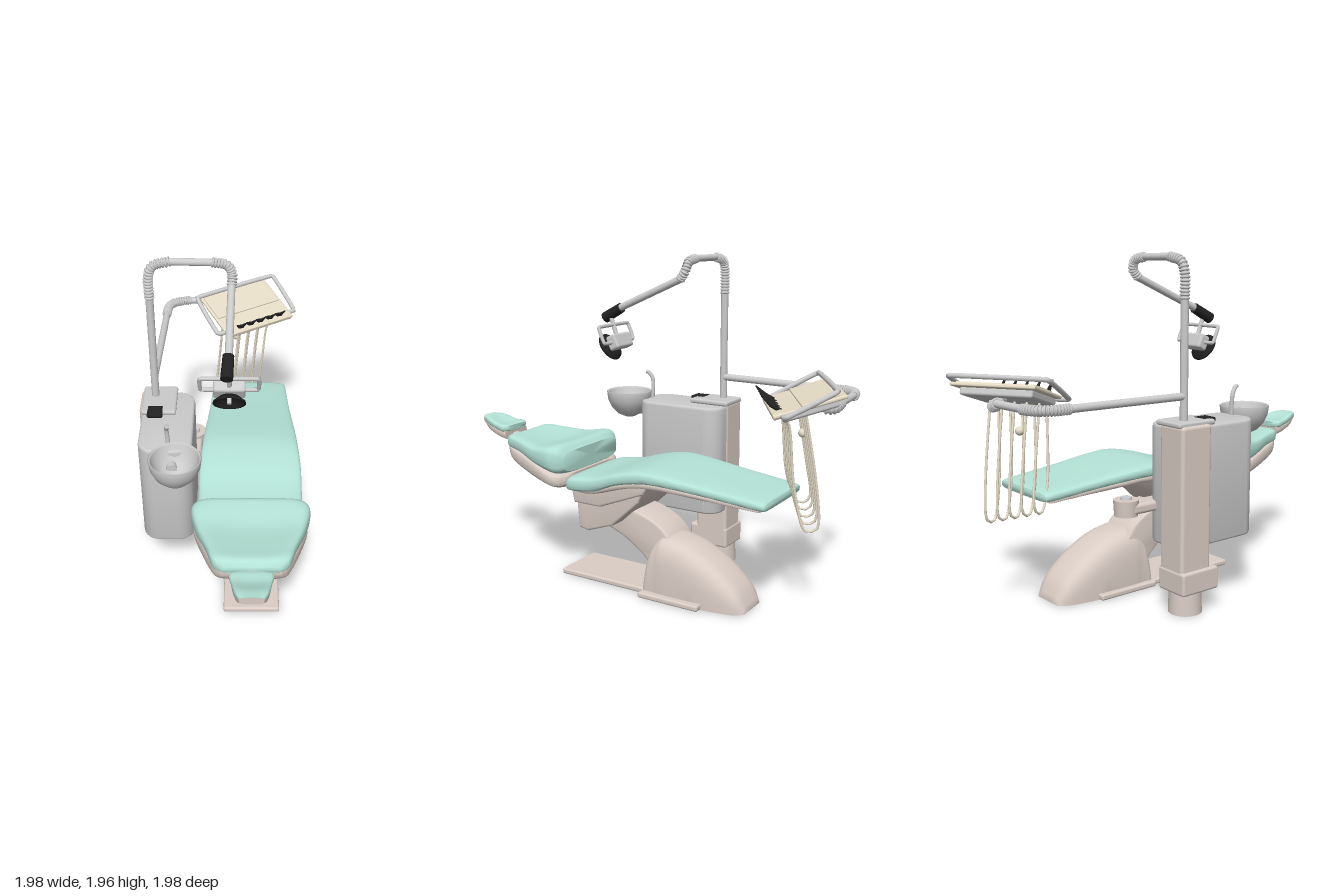
import * as THREE from 'three';
import { toCreasedNormals } from 'three/addons/utils/BufferGeometryUtils.js';
import { RoundedBoxGeometry } from 'three/addons/geometries/RoundedBoxGeometry.js';

const mat = (color) => new THREE.MeshStandardMaterial({ color });
const grey = mat(0xcccccc), beige = mat(0xdacdc5), teal = mat(0xb4e2d6), cream = mat(0xe6dcc6), black = mat(0x222222);
const bowlMat = new THREE.MeshStandardMaterial({ color: 0xcccccc, side: THREE.DoubleSide });
const reflectorMat = new THREE.MeshStandardMaterial({ color: 0x222222, side: THREE.DoubleSide });
const V = (p) => new THREE.Vector3(...p);

function add(parent, name, geo, material, pos = [0, 0, 0]) {
  const m = new THREE.Mesh(geo, material);
  m.name = name;
  m.position.set(...pos);
  parent.add(m);
  return m;
}

const rbox = (parent, name, size, pos, material, r = 0.012) =>
  add(parent, name, new RoundedBoxGeometry(...size, 3, r), material, pos);

// Straight round bar between two points
function rod(parent, name, a, b, r, material, r2 = r) {
  const d = V(b).sub(V(a));
  const m = add(parent, name, new THREE.CylinderGeometry(r2, r, d.length(), 20), material);
  m.position.copy(V(a)).addScaledVector(d, 0.5);
  m.quaternion.setFromUnitVectors(new THREE.Vector3(0, 1, 0), d.normalize());
  return m;
}

function pipe(parent, name, pts, r, material, closed = false, tension = 0.5) {
  const c = new THREE.CatmullRomCurve3(pts.map(V), closed, 'catmullrom', tension);
  add(parent, name, new THREE.TubeGeometry(c, closed ? 96 : 40, r, 10, closed), material);
  return c;
}

// Flexible ribbed sleeve along a curve
function bellows(parent, name, pts, r, count) {
  const g = new THREE.Group();
  g.name = name;
  parent.add(g);
  const c = pipe(g, name + 'Core', pts, r, grey);
  for (let i = 0; i <= count; i++) {
    const ring = add(g, name + 'Rib', new THREE.TorusGeometry(r, 0.007, 8, 20), grey);
    ring.position.copy(c.getPointAt(i / count));
    ring.quaternion.setFromUnitVectors(new THREE.Vector3(0, 0, 1), c.getTangentAt(i / count));
  }
}

// Body lofted along x from rows of [x, halfWidth, bottom, top]; sections are superellipses
function loft(parent, name, rows, material, power = 4, dish = 0) {
  const N = 40, M = (rows.length - 1) * 5;
  const plan = new THREE.SplineCurve(rows.map((q) => new THREE.Vector2(q[0], q[1])));
  const side = new THREE.SplineCurve(rows.map((q) => new THREE.Vector2(q[2], q[3])));
  const pos = [], idx = [];
  const pw = (v) => Math.sign(v) * Math.abs(v) ** (2 / power);
  for (let i = 0; i <= M; i++) {
    const a = plan.getPoint(i / M), b = side.getPoint(i / M);
    for (let j = 0; j < N; j++) {
      const t = (j / N) * Math.PI * 2, z = pw(Math.cos(t)), s = pw(Math.sin(t));
      const sag = s > 0 ? dish * s * (1 - z * z) * Math.sin((Math.PI * i) / M) : 0;
      pos.push(a.x, Math.max(0, (b.x + b.y) / 2 + (s * (b.y - b.x)) / 2 - sag), z * a.y);
      const k = i * N + j, k1 = i * N + ((j + 1) % N);
      if (i < M) idx.push(k, k + N, k1, k1, k + N, k1 + N);
    }
  }
  for (const end of [0, M]) {
    const a = plan.getPoint(end / M), b = side.getPoint(end / M), c = pos.length / 3;
    pos.push(a.x, Math.max(0, (b.x + b.y) / 2), 0);
    for (let j = 0; j < N; j++) {
      const k = end * N + j, k1 = end * N + ((j + 1) % N);
      idx.push(c, end ? k1 : k, end ? k : k1);
    }
  }
  const geo = new THREE.BufferGeometry();
  geo.setAttribute('position', new THREE.Float32BufferAttribute(pos, 3));
  geo.setIndex(idx);
  return add(parent, name, toCreasedNormals(geo, 0.8), material);
}

// Side profile (x, y) extruded across z
function slab(parent, name, pts, width, material, smooth = false) {
  const v = pts.map((p) => new THREE.Vector2(...p));
  const shape = new THREE.Shape(smooth ? new THREE.SplineCurve([...v, v[0]]).getPoints(48).slice(0, -1) : v);
  const geo = new THREE.ExtrudeGeometry(shape, { depth: width - 0.03, bevelSize: 0.015, bevelThickness: 0.015, bevelSegments: 3 });
  geo.translate(0, 0, -(width - 0.03) / 2);
  return add(parent, name, toCreasedNormals(geo, 0.6), material);
}

function buildChair(g) {
  // Floor plate, pedestal and lift arm
  rbox(g, 'floorPlate', [0.8, 0.035, 0.33], [-0.23, 0.0175, 0.01], beige);
  rbox(g, 'floorPlateWing', [0.4, 0.035, 0.42], [0.17, 0.0175, 0.03], beige);
  loft(g, 'pedestal', [[-0.03, 0.165, -0.3, 0.08], [0, 0.17, -0.3, 0.27], [0.05, 0.17, -0.3, 0.345], [0.11, 0.175, -0.3, 0.36],
    [0.26, 0.175, -0.3, 0.325], [0.42, 0.165, -0.3, 0.24], [0.55, 0.14, -0.2, 0.13], [0.61, 0.1, -0.1, 0.03]], beige, 3.8).position.z = 0.025;
  slab(g, 'liftArm', [[-0.4, 0.4], [-0.22, 0.47], [-0.05, 0.445], [0.09, 0.36], [0.16, 0.2], [0.06, 0.12], [-0.06, 0.23], [-0.2, 0.32]], 0.24, beige, true);
  // Seat with its stepped underframe
  slab(g, 'seatUnderframe', [[-0.46, 0.6], [-0.44, 0.365], [-0.39, 0.355], [-0.22, 0.415], [-0.04, 0.58], [0, 0.67]], 0.45, beige);
  slab(g, 'seatFrame', [[-0.47, 0.62], [-0.45, 0.53], [-0.28, 0.53], [0.02, 0.65], [0.06, 0.71]], 0.52, beige);
  loft(g, 'seatPan', [[-0.45, 0.26, 0.575, 0.63], [-0.3, 0.28, 0.59, 0.65], [0, 0.275, 0.67, 0.72], [0.4, 0.25, 0.66, 0.7], [0.73, 0.22, 0.64, 0.665]], beige, 6);
  loft(g, 'seatCushion', [[-0.51, 0.265, 0.6, 0.645], [-0.47, 0.295, 0.58, 0.68], [-0.3, 0.3, 0.6, 0.705], [-0.15, 0.3, 0.66, 0.75],
    [0, 0.29, 0.69, 0.78], [0.15, 0.28, 0.695, 0.775], [0.45, 0.255, 0.675, 0.74], [0.73, 0.24, 0.65, 0.71], [0.77, 0.225, 0.66, 0.695]], teal, 4.5);
  // Backrest
  rbox(g, 'backrestHinge', [0.22, 0.08, 0.3], [-0.5, 0.585, -0.03], beige, 0.03);
  loft(g, 'backrestShell', [[-1.04, 0.16, 0.73, 0.79], [-0.98, 0.2, 0.67, 0.78], [-0.8, 0.265, 0.62, 0.75],
    [-0.62, 0.315, 0.59, 0.7], [-0.55, 0.305, 0.585, 0.69], [-0.52, 0.26, 0.6, 0.67]], beige);
  loft(g, 'backrestCushion', [[-1.045, 0.15, 0.77, 0.81], [-1.01, 0.2, 0.755, 0.855], [-0.9, 0.235, 0.74, 0.85], [-0.75, 0.29, 0.7, 0.84],
    [-0.62, 0.325, 0.67, 0.86], [-0.56, 0.31, 0.66, 0.855], [-0.52, 0.27, 0.68, 0.81]], teal, 4, 0.03);
  // Headrest
  rod(g, 'headrestStem', [-0.96, 0.76, 0], [-1.2, 0.82, 0], 0.035, beige).scale.x = 0.4;
  loft(g, 'headrestShell', [[-1.34, 0.06, 0.87, 0.91], [-1.28, 0.08, 0.82, 0.885], [-1.2, 0.095, 0.79, 0.86], [-1.12, 0.105, 0.775, 0.84]], beige);
  loft(g, 'headrestCushion', [[-1.335, 0.06, 0.88, 0.91], [-1.28, 0.085, 0.85, 0.91], [-1.2, 0.1, 0.83, 0.885], [-1.14, 0.112, 0.82, 0.88],
    [-1.115, 0.09, 0.83, 0.865]], teal, 3.5, 0.015);
}

function buildCabinet(g) {
  // Water unit body with rounded vertical corners
  const [w, d, r] = [0.275, 0.14, 0.085], s = new THREE.Shape();
  [[w - r, d - r, 0], [r - w, d - r, 0.5], [r - w, r - d, 1], [w - r, r - d, 1.5]].forEach(([x, y, a]) =>
    s.absarc(x, y, r, a * Math.PI, (a + 0.5) * Math.PI, false));
  const geo = new THREE.ExtrudeGeometry(s, { depth: 0.63, bevelSize: 0.012, bevelThickness: 0.02, bevelSegments: 4, curveSegments: 10 });
  geo.rotateX(-Math.PI / 2);
  add(g, 'waterUnitBody', toCreasedNormals(geo, 0.6), grey, [-0.113, 0.39, -0.477]);
  // Rear column standing on its foot
  rbox(g, 'column', [0.21, 0.83, 0.19], [0.075, 0.635, -0.55], beige, 0.02);
  rbox(g, 'columnCap', [0.26, 0.03, 0.2], [0.06, 1.055, -0.53], grey);
  rbox(g, 'columnSocket', [0.26, 0.13, 0.21], [0.055, 0.185, -0.56], beige, 0.015);
  add(g, 'columnFoot', new THREE.CylinderGeometry(0.09, 0.095, 0.13, 32), beige, [0.09, 0.065, -0.57]);
  rbox(g, 'switchPad', [0.09, 0.025, 0.09], [-0.06, 1.06, -0.55], black, 0.008);
  // Side bracket with holder
  rbox(g, 'bracketArm', [0.24, 0.06, 0.12], [0.21, 0.58, -0.36], beige, 0.02);
  add(g, 'bracketHead', new THREE.CylinderGeometry(0.072, 0.066, 0.09, 28), beige, [0.33, 0.585, -0.35]);
  add(g, 'bracketKnob', new THREE.CylinderGeometry(0.03, 0.035, 0.02, 20), grey, [0.33, 0.635, -0.35]);
}

function buildBowl(g) {
  const profile = [[0, 0.912], [0.035, 0.914], [0.078, 0.935], [0.115, 0.975], [0.138, 1.025], [0.145, 1.075], [0.138, 1.082], [0.13, 1.07],
    [0.115, 1.015], [0.08, 0.965], [0.035, 0.94], [0, 0.935]].map((p) => new THREE.Vector2(...p));
  add(g, 'spittoonBowl', new THREE.LatheGeometry(profile, 40), bowlMat, [-0.61, 0, 0.08]);
  rod(g, 'bowlSupport', [-0.59, 0.96, 0.03], [-0.48, 0.96, -0.1], 0.03, grey);
  pipe(g, 'bowlSpout', [[-0.53, 1, -0.05], [-0.53, 1.09, -0.055], [-0.535, 1.16, -0.055], [-0.55, 1.2, -0.035], [-0.56, 1.205, -0.02]], 0.012, grey);
}

function buildLamp(g, chairFrame) {
  // Pole and jointed arm
  rod(g, 'lampPole', [-0.26, 1.05, -0.435], [-0.26, 1.75, -0.435], 0.022, grey);
  bellows(g, 'poleElbow', [[-0.26, 1.72, -0.435], [-0.26, 1.84, -0.435], [-0.24, 1.91, -0.415], [-0.18, 1.935, -0.35]], 0.021, 16);
  rod(g, 'lampCrossbar', [-0.19, 1.935, -0.36], [-0.03, 1.935, -0.17], 0.02, grey);
  bellows(g, 'lampElbow', [[-0.03, 1.935, -0.17], [0.02, 1.92, -0.115], [0.035, 1.87, -0.09], [0.01, 1.825, -0.07]], 0.021, 12);
  rod(g, 'lampArm', [0.02, 1.83, -0.08], [-0.33, 1.63, 0.22], 0.021, grey);
  rod(g, 'lampJoint', [-0.31, 1.64, 0.2], [-0.405, 1.575, 0.275], 0.03, black, 0.033);
  // Lamp head and handle
  const h = new THREE.Group();
  h.name = 'lampHead';
  h.position.set(-0.44, 1.405, -0.115);
  chairFrame.add(h);
  rod(h, 'lampHanger', [0.005, 0.17, 0], [0.05, 0.05, 0], 0.013, grey);
  pipe(h, 'lampHandle', [[0.02, 0.13, -0.15], [0.02, 0.13, 0.15], [0.06, 0.035, 0.15], [0.06, 0.035, -0.15]], 0.011, grey, true, 0.06);
  rbox(h, 'lampBody', [0.07, 0.09, 0.17], [0.065, 0.035, 0], grey, 0.015).rotation.z = 0.45;
  const dish = [[0, 0.03], [0.05, 0.028], [0.085, 0], [0.088, -0.01], [0.08, -0.008], [0.045, 0.016], [0, 0.02]].map((p) => new THREE.Vector2(...p));
  add(h, 'lampReflector', new THREE.LatheGeometry(dish, 32), reflectorMat).quaternion
    .setFromUnitVectors(new THREE.Vector3(0, 1, 0), new THREE.Vector3(0.82, 0.572, 0));
  rod(h, 'lampBulb', [0.015, 0.01, 0], [-0.01, -0.007, 0], 0.012, grey);
}

function buildTray(g) {
  // Swing arm
  rod(g, 'trayArm', [-0.26, 1.2, -0.435], [0.31, 1.2, -0.915], 0.021, grey);
  bellows(g, 'trayArmElbow', [[0.29, 1.2, -0.9], [0.37, 1.2, -0.96], [0.44, 1.2, -0.965], [0.52, 1.2, -0.92]], 0.022, 16);
  rod(g, 'trayForearm', [0.51, 1.2, -0.925], [0.69, 1.2, -0.75], 0.021, grey);
  bellows(g, 'trayMount', [[0.68, 1.2, -0.76], [0.71, 1.18, -0.71], [0.7, 1.18, -0.66], [0.67, 1.22, -0.62]], 0.024, 10);
  // Gently tilted tray
  const t = new THREE.Group();
  t.name = 'instrumentTray';
  t.position.set(0.66, 1.225, -0.55);
  t.rotation.set(0.29, -0.28, 0, 'YXZ');
  g.add(t);
  rbox(t, 'trayPlate', [0.49, 0.02, 0.39], [0, 0.01, 0], cream, 0.008);
  rbox(t, 'trayRaisedPanel', [0.46, 0.014, 0.2], [0, 0.022, -0.06], cream, 0.005);
  rbox(t, 'trayHousing', [0.42, 0.05, 0.3], [0, -0.015, 0], grey, 0.015);
  rbox(t, 'instrumentRail', [0.47, 0.03, 0.06], [0, 0.008, 0.165], cream, 0.008);
  // Handle frame, tilted more steeply than the tray
  const frame = new THREE.Group();
  frame.name = 'trayHandle';
  frame.position.y = 0.03;
  frame.rotation.x = 0.19;
  t.add(frame);
  pipe(frame, 'trayHandleFrame', [[-0.285, 0, -0.15], [0.285, 0, -0.15], [0.285, 0, 0.145], [-0.285, 0, 0.145]], 0.014, grey, true, 0.05);
  // Handpieces with hanging hoses
  for (let i = 0; i < 5; i++) {
    const d = (i - 2) * 0.072;
    rod(t, 'handpiece', [d, -0.01, 0.12], [d, 0.06, 0.185], 0.013, black, 0.011);
    rod(t, 'handpieceTip', [d, 0.055, 0.18], [d, 0.115, 0.215], 0.011, black, 0.004);
    const x = 0.613 + 0.96 * d, z = -0.44 + 0.27 * d, low = 0.6 - 0.018 * i;
    pipe(g, 'handpieceHose', [[x, 1.17, z], [x - 0.01, 1.08, z - 0.04], [x - 0.015, 0.8, z - 0.07], [x, low + 0.03, z - 0.12],
      [x + 0.02, low, z - 0.17], [x + 0.04, low + 0.06, z - 0.2], [x + 0.035, 0.85, z - 0.17], [x + 0.015, 1.2, z - 0.11]], 0.007, cream);
  }
  add(g, 'hoseFilter', new THREE.SphereGeometry(0.025, 16, 12), cream, [0.6, 1.03, -0.58]);
}

export function createModel() {
  const model = new THREE.Group();
  model.name = 'dentalUnit';
  const chair = new THREE.Group(), cabinet = new THREE.Group();
  chair.name = 'patientChair';
  cabinet.name = 'waterUnit';
  for (const g of [chair, cabinet]) {
    g.position.set(0.04, 0, 0.045);
    g.rotation.y = (42 * Math.PI) / 180;
    model.add(g);
  }
  buildChair(chair);
  buildCabinet(cabinet);
  buildBowl(model);
  buildLamp(model, cabinet);
  buildTray(model);
  return model;
}
